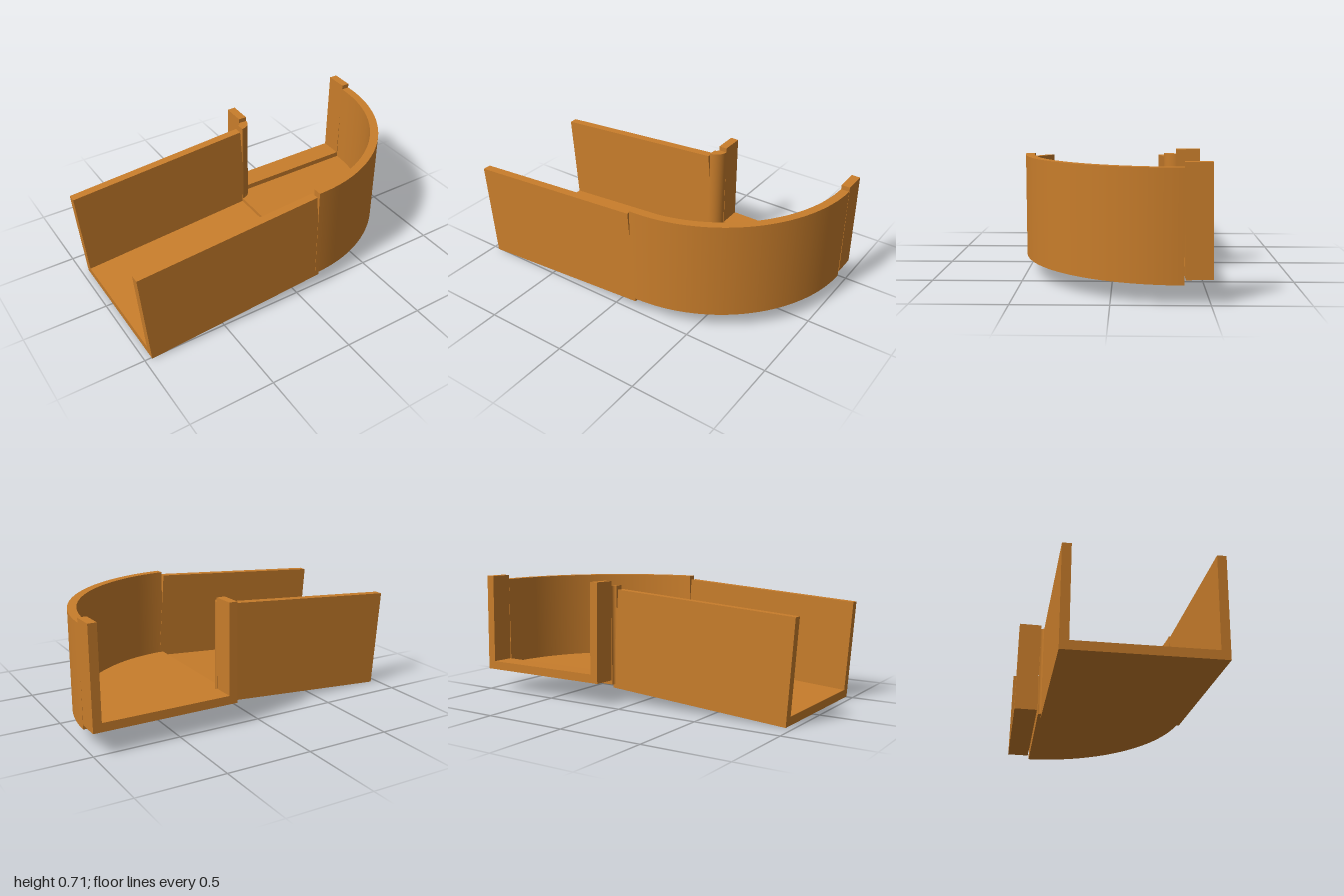
import * as THREE from 'three';

const WALL = 0.05, HEIGHT = 0.58;

export function createModel() {
  const orange = new THREE.MeshStandardMaterial({ color: 0xc87d2b });
  orange.name = 'orange';
  const model = new THREE.Group();
  model.name = 'channelElbow';

  // U-shaped trough: outer width along x, running along +z
  function trough(name, width, length) {
    const s = new THREE.Shape();
    const w = width / 2, i = w - WALL;
    [[-w, 0], [w, 0], [w, HEIGHT], [i, HEIGHT], [i, WALL], [-i, WALL], [-i, HEIGHT], [-w, HEIGHT]]
      .forEach(([x, y], k) => (k ? s.lineTo(x, y) : s.moveTo(x, y)));
    s.closePath();
    const mesh = new THREE.Mesh(new THREE.ExtrudeGeometry(s, { depth: length, bevelEnabled: false }), orange);
    mesh.name = name;
    return mesh;
  }

  // Quarter ring centred on the bend axis, from height y0 to y1
  function quarterRing(name, inner, outer, y0, y1) {
    const s = new THREE.Shape();
    s.absarc(0, 0, outer, 0, Math.PI / 2, false);
    s.absarc(0, 0, inner, Math.PI / 2, 0, true);
    s.closePath();
    const geo = new THREE.ExtrudeGeometry(s, { depth: y1 - y0, bevelEnabled: false, curveSegments: 64 });
    geo.rotateX(Math.PI / 2);
    const mesh = new THREE.Mesh(geo, orange);
    mesh.name = name;
    mesh.position.y = y1;
    return mesh;
  }

  // Long straight trough, rising towards the bend
  const straight = trough('straightTrough', 0.856, 1.112);
  straight.rotation.y = Math.PI / 2;
  const slope = new THREE.Group();
  slope.name = 'slopedRun';
  slope.add(straight);
  slope.rotation.z = Math.atan2(0.08, 1.11);
  slope.position.set(-0.959, 0, 0.08);
  model.add(slope);

  // Level quarter bend
  const bend = new THREE.Group();
  bend.name = 'bend';
  bend.add(
    quarterRing('bendFloor', 0.021, 0.876, 0.101, 0.151),
    quarterRing('bendInnerWall', 0.021, 0.071, 0.151, 0.681),
    quarterRing('bendOuterWall', 0.826, 0.876, 0.151, 0.681)
  );
  bend.position.set(0.122, 0, -0.366);
  model.add(bend);

  // Short outlet trough behind the bend, tilted very slightly
  const outlet = trough('outletTrough', 0.856, 0.136);
  outlet.position.set(0.571, 0.13, -0.509);
  outlet.rotation.x = 0.016;
  model.add(outlet);

  return model;
}
